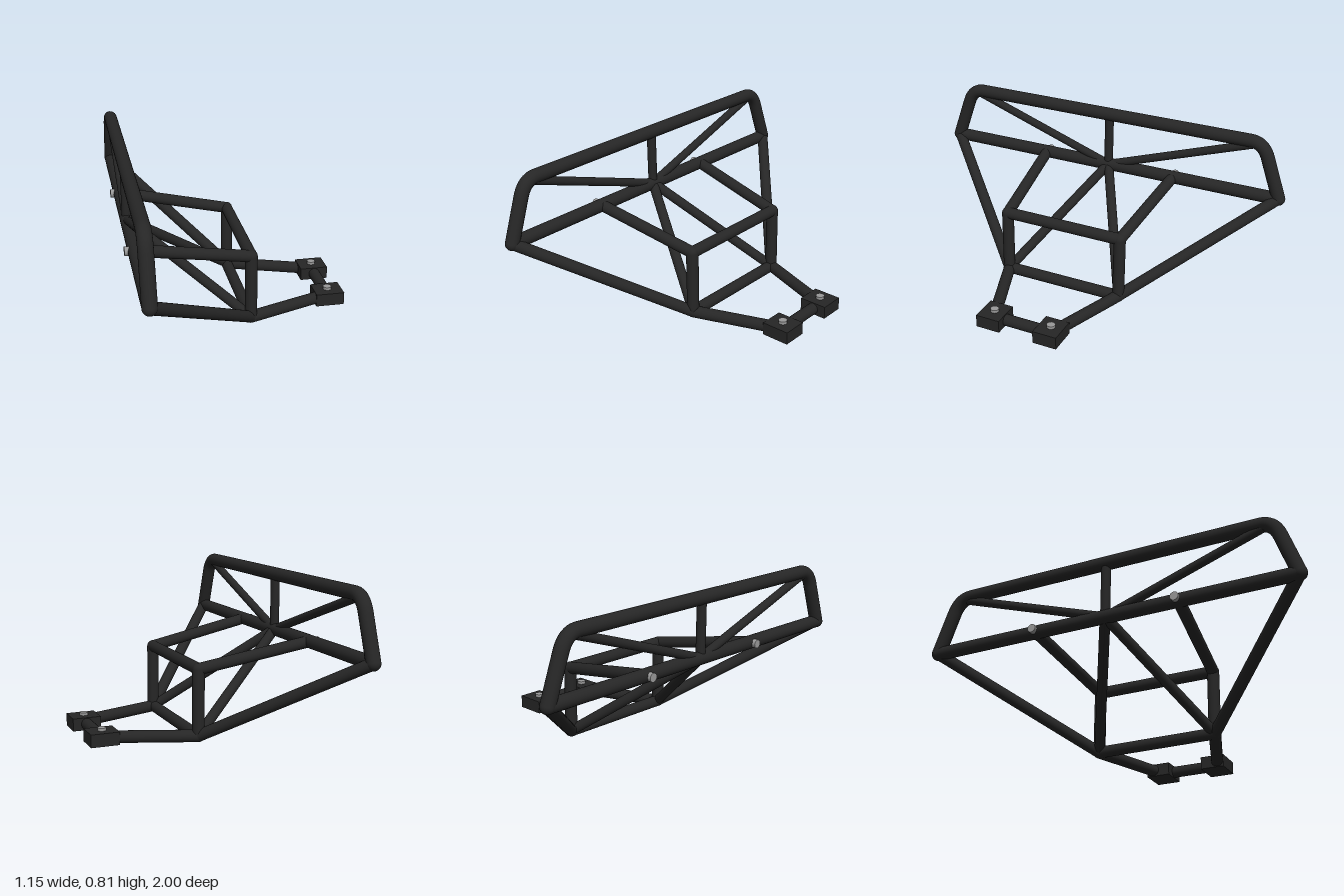
import * as THREE from 'three';

export function createModel() {
  const model = new THREE.Group();
  model.name = 'tubularBumper';
  const black = new THREE.MeshStandardMaterial({ color: 0x262626 });
  black.name = 'blackPowderCoat';
  const steel = new THREE.MeshStandardMaterial({ color: 0x999999 });
  steel.name = 'boltSteel';

  const add = (name, geometry, material, p = [0, 0, 0]) => {
    const mesh = new THREE.Mesh(geometry, material);
    mesh.name = name;
    mesh.position.set(...p);
    model.add(mesh);
    return mesh;
  };
  const up = new THREE.Vector3(0, 1, 0);
  // Round-ended straight tube between two points
  const bar = (name, a, b, r) => {
    const from = new THREE.Vector3(...a), to = new THREE.Vector3(...b);
    const dir = to.clone().sub(from);
    const mid = from.clone().add(to).multiplyScalar(0.5);
    const mesh = add(name, new THREE.CapsuleGeometry(r, dir.length(), 8, 24), black, mid.toArray());
    mesh.quaternion.setFromUnitVectors(up, dir.normalize());
  };

  const X = -0.525, Y = 0.478, TOP = 0.775; // plane of the wide hoop
  const FX = 0.052, LOW = 0.033, HIGH = 0.37, FZ = 0.322; // inner frame
  const hub = [X, Y, 0];

  // Wide hoop with rounded upper corners
  const v = (y, z) => new THREE.Vector3(X, y, z);
  const path = new THREE.CurvePath();
  path.add(new THREE.LineCurve3(v(Y, 0.965), v(0.7, 0.886)));
  path.add(new THREE.QuadraticBezierCurve3(v(0.7, 0.886), v(TOP, 0.858), v(TOP, 0.79)));
  path.add(new THREE.LineCurve3(v(TOP, 0.79), v(TOP, -0.79)));
  path.add(new THREE.QuadraticBezierCurve3(v(TOP, -0.79), v(TOP, -0.858), v(0.7, -0.886)));
  path.add(new THREE.LineCurve3(v(0.7, -0.886), v(Y, -0.965)));
  add('upperHoop', new THREE.TubeGeometry(path, 160, 0.035, 24), black);
  bar('mainCrossTube', [X, Y, -0.965], [X, Y, 0.965], 0.034);
  bar('hoopCenterPost', hub, [X, TOP, 0], 0.024);

  // Inner frame cross tubes and mount cross tube
  bar('upperCrossTube', [FX, HIGH, -FZ], [FX, HIGH, FZ], 0.03);
  bar('lowerCrossTube', [FX, LOW, -FZ], [FX, LOW, FZ], 0.03);
  bar('mountCrossTube', [0.5, LOW, -0.14], [0.5, LOW, 0.14], 0.03);

  // Mirrored members
  for (const s of [1, -1]) {
    const side = s > 0 ? 'left' : 'right';
    const foot = [FX, LOW, s * FZ];
    add(side + 'HoopEnd', new THREE.SphereGeometry(0.035, 24, 16), black, [X, Y, s * 0.965]);
    bar(side + 'HoopBrace', hub, [X, 0.765, s * 0.83], 0.022);
    bar(side + 'OuterStrut', [X, Y, s * 0.965], foot, 0.03);
    bar(side + 'InnerStrut', hub, foot, 0.026);
    bar(side + 'UpperArm', [X, Y, s * 0.382], [FX, HIGH, s * FZ], 0.03);
    bar(side + 'Upright', foot, [FX, HIGH, s * FZ], 0.031);
    bar(side + 'MountArm', foot, [0.46, LOW, s * 0.175], 0.031);
    add(side + 'MountBlock', new THREE.BoxGeometry(0.148, 0.066, 0.128), black, [0.499, 0.033, s * 0.158]);
    // Bolts on the mount block and behind the main tube
    add(side + 'MountBolt', new THREE.CylinderGeometry(0.022, 0.022, 0.03, 16), steel, [0.498, 0.066, s * 0.158]);
    const bolt = add(side + 'TubeBolt', new THREE.CylinderGeometry(0.022, 0.022, 0.04, 16), steel, [-0.555, Y, s * 0.38]);
    bolt.rotation.z = Math.PI / 2;
  }
  return model;
}
